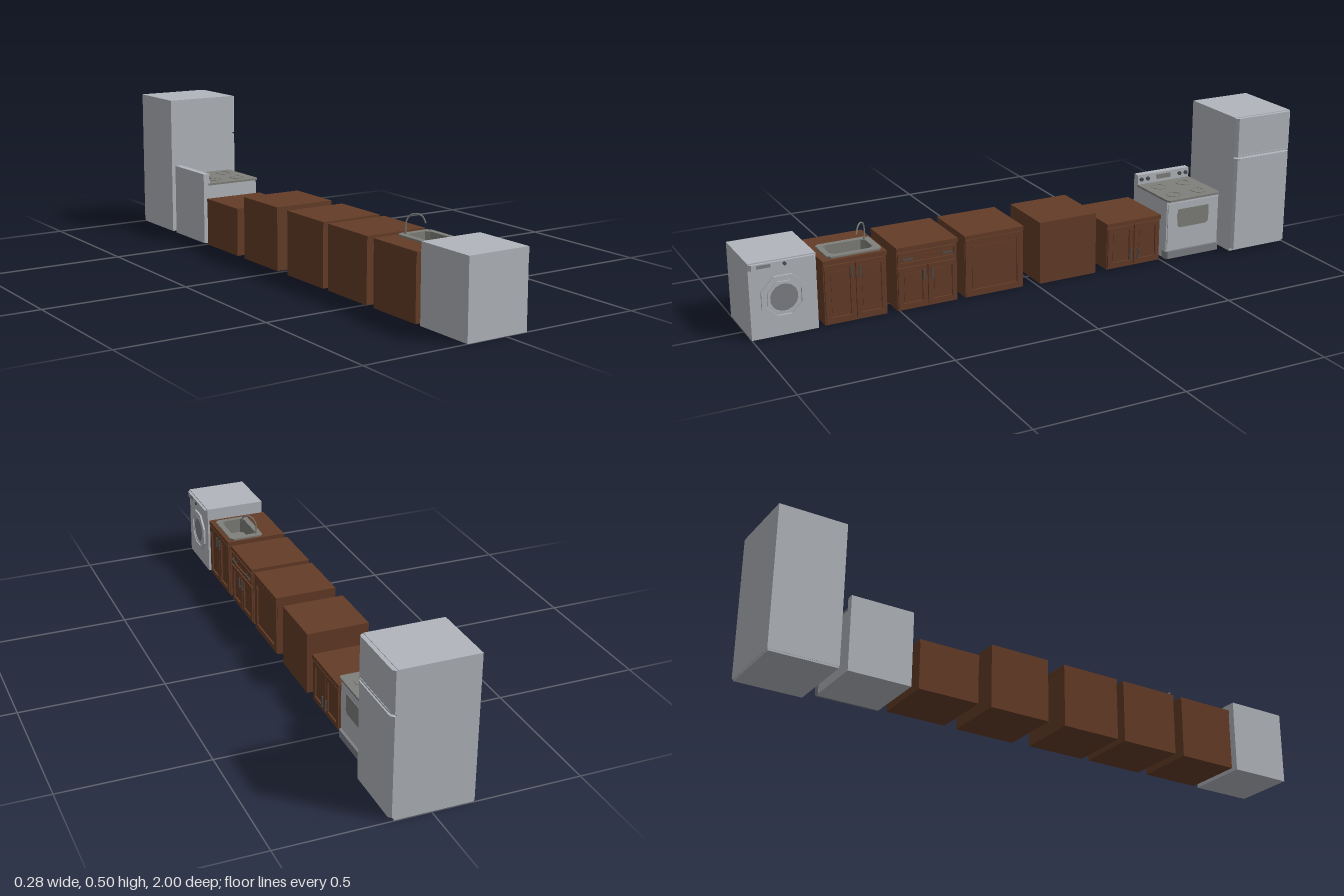
import * as THREE from 'three';

const mat = (name, color) => {
  const m = new THREE.MeshStandardMaterial({ color });
  m.name = name;
  return m;
};

export function createModel() {
  const wood = mat('brown wood', 0x643c27);
  const metal = mat('light metal', 0xb2b6bc);
  const steel = mat('dark steel', 0x7f807b);
  const grey = mat('mid grey', 0x7d8085);
  const dark = mat('charcoal', 0x4c4d50);
  const root = new THREE.Group();
  root.name = 'kitchenSet';
  const BACK = -0.14, FRONT = 0.08;

  // Each unit is built facing its own +z and then turned to face +x
  const unit = (name, z) => {
    const g = new THREE.Group();
    g.name = name;
    g.rotation.y = Math.PI / 2;
    g.position.z = z;
    root.add(g);
    return g;
  };
  const add = (g, name, geo, m) => {
    const mesh = new THREE.Mesh(geo, m);
    mesh.name = name;
    g.add(mesh);
    return mesh;
  };
  // Box given by its limits
  const box = (g, name, m, x0, x1, y0, y1, z0, z1) =>
    add(g, name, new THREE.BoxGeometry(x1 - x0, y1 - y0, z1 - z0), m)
      .position.set((x0 + x1) / 2, (y0 + y1) / 2, (z0 + z1) / 2);
  // Rectangle outline with corners cut by c
  const cutRect = (x0, x1, y0, y1, c = 0) => {
    const p = c ? [[x0 + c, y0], [x1 - c, y0], [x1, y0 + c], [x1, y1 - c],
      [x1 - c, y1], [x0 + c, y1], [x0, y1 - c], [x0, y0 + c]]
      : [[x0, y0], [x1, y0], [x1, y1], [x0, y1]];
    return p.map(([x, y]) => new THREE.Vector2(x, y));
  };
  const octagon = (r, cy, n = 8) => Array.from({ length: n }, (_, i) => {
    const a = (i + 0.5) * 2 * Math.PI / n;
    return new THREE.Vector2(r * Math.cos(a), cy + r * Math.sin(a));
  });
  const extrude = (outer, hole, depth) => {
    const s = new THREE.Shape(outer);
    if (hole) s.holes.push(new THREE.Path(hole));
    return new THREE.ExtrudeGeometry(s, { depth, bevelEnabled: false });
  };
  // Upright plate on the front; flat plate seen in plan (outline y is -z)
  const plate = (g, name, m, outer, hole, z0, z1) =>
    add(g, name, extrude(outer, hole, z1 - z0).translate(0, 0, z0), m);
  const flat = (g, name, m, outer, hole, y0, y1) =>
    add(g, name, extrude(outer, hole, y1 - y0).rotateX(-Math.PI / 2).translate(0, y0, 0), m);
  // Plan of a panel whose two front corners are cut
  const frontCut = (w, z0, z1, c) => [[-w, -z0], [-w, -z1 + c], [-w + c, -z1], [w - c, -z1],
    [w, -z1 + c], [w, -z0]].map(([x, y]) => new THREE.Vector2(x, y));

  // ---- Cabinets ----
  const W = 0.109;
  const panelDoor = (g, x0, x1, y0, y1, b = 0.016) => {
    plate(g, 'doorFrame', wood, cutRect(x0, x1, y0, y1),
      cutRect(x0 + b, x1 - b, y0 + b, y1 - b), 0.07, 0.08);
    box(g, 'doorPanel', wood, x0 + b + 0.006, x1 - b - 0.006, y0 + b + 0.006, y1 - b - 0.006, 0.07, 0.076);
  };
  const pull = (g, x, y, len, upright) => {
    const a = upright ? 0.0025 : len / 2, b = upright ? len / 2 : 0.0025;
    box(g, 'handle', dark, x - a, x + a, y - b, y + b, 0.083, 0.087);
    for (const s of [-1, 1]) {
      const hx = x + (upright ? 0 : s * (a - 0.003)), hy = y + (upright ? s * (b - 0.003) : 0);
      box(g, 'handlePost', dark, hx - 0.002, hx + 0.002, hy - 0.002, hy + 0.002, 0.078, 0.084);
    }
  };
  const carcass = (g, h) => box(g, 'cabinetBody', wood, -W + 0.002, W - 0.002, 0, h, BACK, 0.074);
  const top = (g, h) => box(g, 'cabinetTop', wood, -W, W, h - 0.014, h, BACK, FRONT + 0.001);
  const doorPair = (g, y0, y1, handleY) => {
    for (const s of [-1, 1]) {
      panelDoor(g, Math.min(s * 0.002, s * 0.104), Math.max(s * 0.002, s * 0.104), y0, y1);
      pull(g, s * 0.014, handleY, 0.038, true);
    }
  };

  // Sink cabinet with an open basin
  const sink = unit('sinkCabinet', 0.65);
  carcass(sink, 0.165);
  const opening = cutRect(-0.078, 0.092, -0.06, 0.054);
  flat(sink, 'cabinetUpper', wood, cutRect(-W + 0.002, W - 0.002, -0.074, -BACK), opening, 0.165, 0.206);
  flat(sink, 'cabinetTop', wood, cutRect(-W, W, -FRONT - 0.001, -BACK), opening, 0.206, 0.22);
  doorPair(sink, 0.008, 0.202, 0.17);
  const basin = cutRect(-0.068, 0.078, -0.046, 0.04, 0.012);
  flat(sink, 'sinkRim', steel, cutRect(-0.086, 0.1, -0.066, 0.06, 0.012), basin, 0.219, 0.226);
  flat(sink, 'sinkWalls', steel, opening, basin, 0.166, 0.22);
  flat(sink, 'sinkFloor', steel, basin, null, 0.165, 0.172);
  const faucet = [[0.08, 0.22, -0.039], [0.08, 0.262, -0.039], [0.073, 0.283, -0.031], [0.059, 0.291, -0.018],
    [0.044, 0.283, -0.003], [0.036, 0.262, 0.004]].map(p => new THREE.Vector3(...p));
  add(sink, 'faucet', new THREE.TubeGeometry(new THREE.CatmullRomCurve3(faucet), 24, 0.0026, 8), steel);
  add(sink, 'faucetBase', new THREE.CylinderGeometry(0.004, 0.005, 0.008, 10), steel).position.set(0.08, 0.229, -0.039);

  // Cabinet with a drawer over two doors
  const drawers = unit('drawerCabinet', 0.4);
  carcass(drawers, 0.214);
  top(drawers, 0.22);
  panelDoor(drawers, -0.104, 0.104, 0.156, 0.2, 0.009);
  for (const s of [-1, 1]) pull(drawers, s * 0.07, 0.178, 0.036, false);
  doorPair(drawers, 0.008, 0.148, 0.115);

  // Cabinet with one wide framed panel
  const single = unit('panelCabinet', 0.157);
  carcass(single, 0.214);
  top(single, 0.22);
  panelDoor(single, -0.106, 0.106, 0.004, 0.204, 0.021);

  // Plain corner block
  box(unit('cornerCabinet', -0.124), 'cabinetBody', wood, -W, W, 0, 0.22, BACK, FRONT);

  // Low wall cabinet
  const low = unit('lowCabinet', -0.388);
  carcass(low, 0.164);
  top(low, 0.17);
  doorPair(low, 0.007, 0.152, 0.045);

  // ---- Washing machine ----
  const washer = unit('washingMachine', 0.89);
  box(washer, 'washerBody', metal, -0.11, 0.11, 0, 0.256, BACK, FRONT);
  flat(washer, 'controlPanel', metal, frontCut(0.11, 0.08, 0.089, 0.009), null, 0.233, 0.252);
  box(washer, 'display', grey, -0.085, -0.04, 0.237, 0.248, 0.088, 0.0895);
  add(washer, 'washerKnob', new THREE.CylinderGeometry(0.006, 0.006, 0.006, 10).rotateX(Math.PI / 2), dark)
    .position.set(0.005, 0.2425, 0.091);
  plate(washer, 'doorRing', metal, octagon(0.08, 0.128), octagon(0.062, 0.128), 0.078, 0.087);
  plate(washer, 'doorInnerRing', metal, octagon(0.058, 0.128), octagon(0.046, 0.128, 16), 0.078, 0.085);
  plate(washer, 'doorGlass', grey, octagon(0.046, 0.128, 16), null, 0.079, 0.083);

  // ---- Stove ----
  const stove = unit('stove', -0.63);
  box(stove, 'stoveBody', metal, -0.109, 0.109, 0, 0.213, BACK, FRONT);
  flat(stove, 'cooktop', steel, frontCut(0.11, -0.12, 0.091, 0.008), null, 0.213, 0.22);
  box(stove, 'backPanel', metal, -0.109, 0.109, 0.205, 0.256, BACK, -0.115);
  box(stove, 'clock', steel, -0.03, 0.03, 0.231, 0.248, -0.116, -0.1125);
  for (const x of [-0.095, -0.068, 0.068, 0.095]) {
    add(stove, 'stoveKnob', new THREE.CylinderGeometry(0.007, 0.007, 0.008, 10).rotateX(Math.PI / 2), dark)
      .position.set(x, 0.239, -0.112);
  }
  for (const x of [-0.052, 0.052]) for (const z of [-0.06, 0.035]) {
    const ring = extrude(octagon(0.03, 0), octagon(0.023, 0), 0.002).rotateX(-Math.PI / 2);
    add(stove, 'burner', ring, steel).position.set(x, 0.2195, z);
  }
  box(stove, 'ovenDoor', metal, -0.105, 0.105, 0.036, 0.205, 0.079, 0.084);
  const pane = [[-0.065, 0.18], [-0.065, 0.122], [-0.055, 0.112], [0.055, 0.112], [0.065, 0.122], [0.065, 0.18]]
    .map(p => new THREE.Vector2(...p));
  plate(stove, 'ovenWindow', steel, pane, null, 0.083, 0.0855);
  flat(stove, 'kickPlate', grey, frontCut(0.112, 0.06, 0.089, 0.006), null, 0.001, 0.028);

  // ---- Refrigerator ----
  const fridge = unit('refrigerator', -0.883);
  box(fridge, 'fridgeBody', metal, -0.117, 0.117, 0.006, 0.499, BACK, 0.123);
  box(fridge, 'fridgeBase', metal, -0.115, 0.115, 0, 0.007, BACK + 0.001, 0.12);
  for (const [name, y0, y1] of [['lowerDoor', 0.012, 0.35], ['freezerDoor', 0.357, 0.497]]) {
    flat(fridge, name, metal, frontCut(0.117, 0.122, 0.137, 0.009), null, y0, y1);
  }
  box(fridge, 'lowerGrip', metal, -0.1, 0.1, 0.343, 0.35, 0.136, 0.139);
  box(fridge, 'freezerGrip', metal, -0.1, 0.1, 0.357, 0.363, 0.136, 0.139);

  return root;
}
